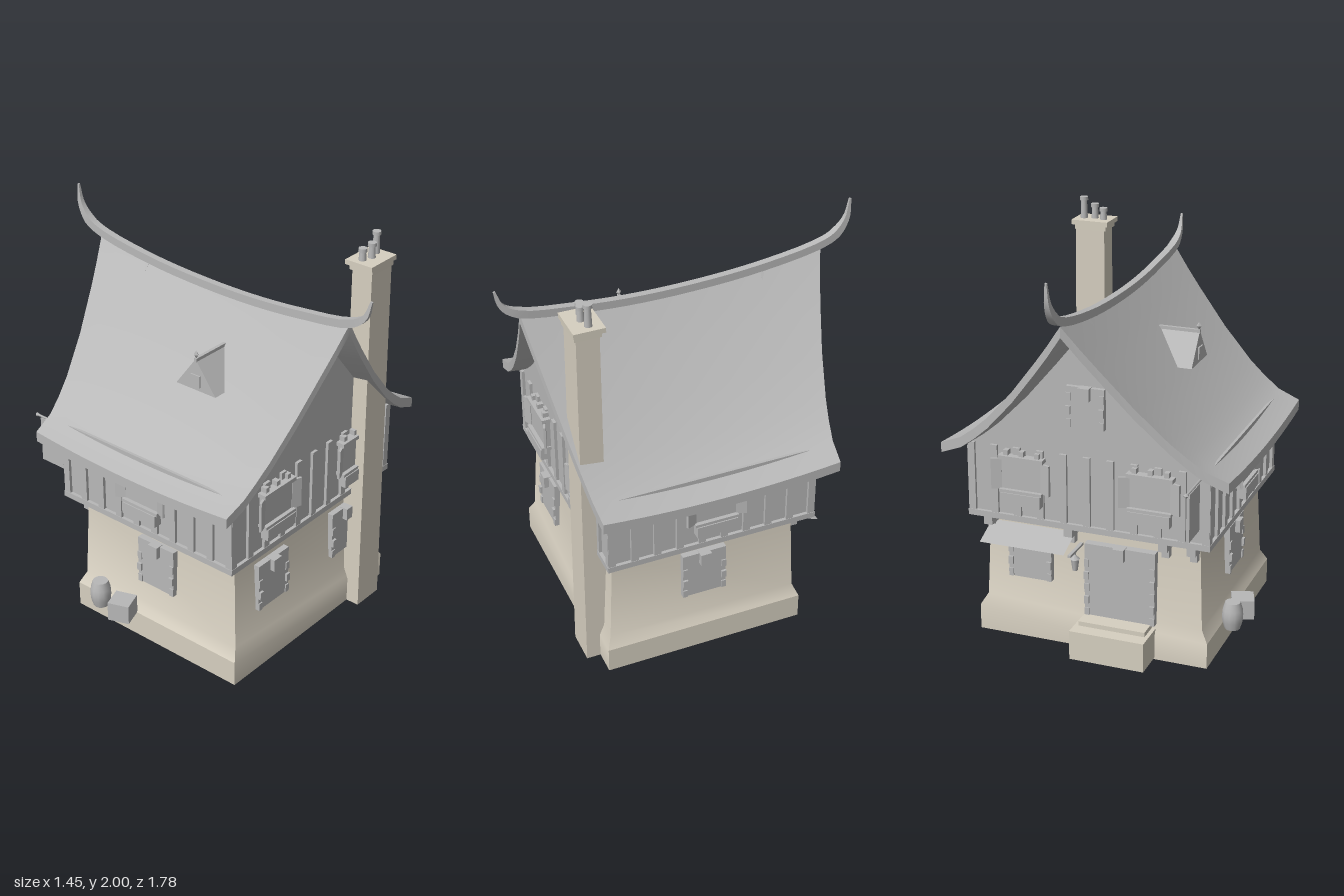
import * as THREE from 'three';
import { toCreasedNormals } from 'three/addons/utils/BufferGeometryUtils.js';

export function createModel() {
  const stone = new THREE.MeshStandardMaterial({ color: 0xd6cfc0, side: THREE.DoubleSide });
  stone.name = 'stone';
  const grey = new THREE.MeshStandardMaterial({ color: 0xb8b8b8 });
  grey.name = 'grey';
  const model = new THREE.Group();
  model.name = 'cottage';
  const V = (x, y, z) => new THREE.Vector3(x, y, z);

  function add(parent, name, geo, mat, x = 0, y = 0, z = 0) {
    const m = new THREE.Mesh(geo, mat);
    m.name = name;
    m.position.set(x, y, z);
    parent.add(m);
    return m;
  }
  // box given by its lower and upper limits
  const block = (parent, name, mat, x0, x1, y0, y1, z0, z1) =>
    add(parent, name, new THREE.BoxGeometry(x1 - x0, y1 - y0, z1 - z0), mat, (x0 + x1) / 2, (y0 + y1) / 2, (z0 + z1) / 2);

  // skin over a row of equal rings, with optional end caps
  function loft(rings, caps = true, crease = 0.5) {
    const n = rings[0].length, pos = [], idx = [];
    rings.flat().forEach(p => pos.push(p.x, p.y, p.z));
    for (let j = 0; j < rings.length - 1; j++) for (let i = 0; i < n; i++) {
      const a = j * n + i, b = j * n + (i + 1) % n, c = b + n, d = a + n;
      idx.push(a, b, d, b, c, d);
    }
    if (caps) for (let i = 0; i < n / 2 - 1; i++) {
      const [a, b, c, d] = [i, i + 1, n - 2 - i, n - 1 - i], o = (rings.length - 1) * n;
      idx.push(a + o, b + o, c + o, a + o, c + o, d + o, a, c, b, a, d, c);
    }
    const g = new THREE.BufferGeometry();
    g.setAttribute('position', new THREE.Float32BufferAttribute(pos, 3));
    g.setIndex(idx);
    return toCreasedNormals(g, crease);
  }
  const rectRing = (y, x0, x1, z0, z1) => [V(x1, y, z1), V(x1, y, z0), V(x0, y, z0), V(x0, y, z1)];

  // stone ground floor, open below, with a battered foot
  add(model, 'groundFloor', loft([
    rectRing(0, -0.595, 0.595, -0.4, 0.62), rectRing(0.13, -0.595, 0.595, -0.4, 0.62),
    rectRing(0.19, -0.56, 0.56, -0.375, 0.595), rectRing(0.64, -0.54, 0.54, -0.36, 0.57)], false), stone);

  // timbered upper floor
  block(model, 'upperWall', grey, -0.6, 0.6, 0.645, 1.0, -0.435, 0.6);
  for (const s of [-1, 1]) {
    const end = s > 0 ? 0.6 : -0.435;
    block(model, 'sillBeam', grey, s * 0.605 - 0.012, s * 0.605 + 0.012, 0.64, 0.67, -0.452, 0.617);
    block(model, 'endSillBeam', grey, -0.615, 0.615, 0.64, 0.67, end - 0.017, end + 0.017);
    block(model, 'wallPlate', grey, s * 0.61 - 0.007, s * 0.61 + 0.007, 0.98, 1.055, -0.43, 0.57);
    for (let i = 0; i <= 10; i++) {
      const x = -0.595 + i * 0.119;
      block(model, 'endPost', grey, x - 0.018, x + 0.018, 0.66, 1.02, end - 0.015, end + 0.015);
    }
    for (let i = 0; i <= 9; i++) {
      const z = -0.43 + i * 0.1139;
      block(model, 'sidePost', grey, s * 0.6 - 0.015, s * 0.6 + 0.015, 0.66, 1.0, z - 0.018, z + 0.018);
    }
  }

  // roof: flared profile, sagging ridge, swept gable ends
  const profile = [[0, 1.745], [0.08, 1.635], [0.15, 1.545], [0.3, 1.36], [0.45, 1.2], [0.53, 1.13], [0.61, 1.07], [0.72, 1.025]];
  const across = [...profile].reverse().concat(profile.slice(1).map(([x, y]) => [-x, y]));
  const roofPoint = ([x, y], t, drop) => {
    const a = 1 - Math.abs(x) / 0.72, f = Math.pow(a, 1.5), w = 2 * t - 1;
    const z = THREE.MathUtils.lerp(-0.515 - 0.22 * f, 0.67 + 0.11 * f, t);
    return V(x, y - drop - (0.03 + 0.035 * a) * (1 - w * w), z);
  };
  const roofRings = [];
  for (let j = 0; j <= 14; j++) {
    const t = j / 14;
    roofRings.push([...across.map(p => roofPoint(p, t, 0)), ...[...across].reverse().map(p => roofPoint(p, t, 0.052))]);
  }
  add(model, 'roof', loft(roofRings, true, 0.45), grey);

  // gable walls under the roof
  const gable = new THREE.Shape([new THREE.Vector2(0.6, 0.99),
    ...across.filter(p => Math.abs(p[0]) < 0.62).map(([x, y]) => new THREE.Vector2(x * 0.98, y - 0.04)), new THREE.Vector2(-0.6, 0.99)]);
  for (const z of [-0.435, 0.58])
    add(model, 'gableWall', new THREE.ExtrudeGeometry(gable, { depth: 0.02, bevelEnabled: false }), grey, 0, 0, z);

  // ridge beam with upturned, tapering tips
  const ridge = new THREE.CatmullRomCurve3([[1.98, -0.88], [1.88, -0.865], [1.805, -0.81], [1.765, -0.72], [1.712, -0.4],
    [1.69, -0.07], [1.69, 0.24], [1.71, 0.51], [1.75, 0.78], [1.80, 0.86], [1.885, 0.89]].map(([y, z]) => V(0, y, z)));
  const ridgeRings = [];
  for (let i = 0; i <= 36; i++) {
    const t = i / 36, p = ridge.getPoint(t), d = ridge.getTangent(t), n = d.clone().cross(V(1, 0, 0));
    const k = Math.min(1, 0.25 + 4 * Math.min(t, 1 - t)), w = 0.018 * k, h = 0.02 * k;
    ridgeRings.push([[-w, -h], [w, -h], [w, h], [-w, h]].map(([x, y]) => p.clone().addScaledVector(n, y).setX(x)));
  }
  add(model, 'ridgeBeam', loft(ridgeRings), grey);

  // chimney with stepped cap and pots
  add(model, 'chimney', loft([rectRing(0, 0.305, 0.475, 0.57, 0.69), rectRing(1.85, 0.305, 0.46, 0.565, 0.675)]), stone);
  block(model, 'chimneyCapLower', stone, 0.295, 0.462, 1.84, 1.868, 0.555, 0.683);
  block(model, 'chimneyCap', stone, 0.28, 0.475, 1.866, 1.89, 0.54, 0.69);
  for (const [x, top, z] of [[0.324, 1.95, 0.605], [0.376, 1.965, 0.62], [0.43, 2, 0.605]]) {
    const h = top - 1.88;
    add(model, 'chimneyPot', new THREE.CylinderGeometry(0.014, 0.019, h, 10), grey, x, 1.88 + h / 2, z);
    add(model, 'potRim', new THREE.CylinderGeometry(0.021, 0.021, 0.018, 10), grey, x, top - 0.009, z);
  }

  // windows are built facing +z and turned to their wall
  function place(name, turn, x, y, z) {
    const g = new THREE.Group();
    g.name = name;
    g.position.set(x, y, z);
    g.rotation.y = turn * Math.PI / 2;
    model.add(g);
    return g;
  }
  function surround(name, w, h, turn, x, y, z) {
    const g = place(name, turn, x, y, z);
    block(g, 'panel', grey, -w / 2, w / 2, 0, h, -0.03, 0.02);
    block(g, 'keystone', grey, -0.028, 0.028, h - 0.06, h + 0.003, 0, 0.045);
    for (const s of [-1, 1]) for (let i = 0; i < Math.floor(h / 0.065); i++) {
      const e = s * (w / 2 - 0.012);
      block(g, 'jambStone', grey, e - 0.012, e + 0.012, i * 0.065, i * 0.065 + 0.04, 0, 0.026 + 0.006 * (i % 2));
    }
  }
  function shutteredWindow(turn, x, z) {
    const g = place('upperWindow', turn, x, 0, z);
    block(g, 'frame', grey, -0.103, 0.103, 0.79, 0.98, 0, 0.03);
    block(g, 'header', grey, -0.115, 0.115, 0.965, 0.985, 0, 0.045);
    for (let i = -1; i <= 1; i++) block(g, 'headerPeg', grey, i * 0.08 - 0.012, i * 0.08 + 0.012, 0.985, 1.01, 0, 0.03);
    for (const s of [-1, 1]) {
      const sh = block(g, 'shutter', grey, s * 0.127 - 0.026, s * 0.127 + 0.026, 0.81, 0.965, 0.03, 0.042);
      sh.rotation.y = -s * 0.35;
    }
    block(g, 'sill', grey, -0.11, 0.11, 0.8, 0.815, 0, 0.05);
    block(g, 'flowerBox', grey, -0.103, 0.103, 0.74, 0.8, 0.012, 0.055);
  }
  for (const s of [-1, 1]) {
    surround('frontWindow', 0.225, 0.25, 0, s * 0.288, 0.32, 0.585);
    surround('sideWindow', 0.225, 0.25, s, s * 0.555, 0.32, 0.11);
    shutteredWindow(0, s * 0.3, 0.602);
    shutteredWindow(2, s * 0.325, -0.437);
    shutteredWindow(s, s * 0.602, 0.08);
  }
  surround('backWindow', 0.225, 0.25, 2, 0.32, 0.32, -0.375);
  surround('gableWindow', 0.19, 0.2, 2, 0, 1.17, -0.437);
  surround('door', 0.36, 0.38, 2, -0.15, 0.18, -0.385);

  // door steps and overhang brackets
  block(model, 'lowerStep', stone, -0.33, 0.05, 0.01, 0.16, -0.56, -0.37);
  block(model, 'upperStep', stone, -0.31, 0.03, 0.15, 0.183, -0.49, -0.37);
  for (const x of [-0.52, -0.38, 0.1, 0.52]) {
    block(model, 'bracket', grey, x - 0.022, x + 0.022, 0.595, 0.642, -0.44, -0.35);
    block(model, 'bracketFoot', grey, x - 0.018, x + 0.018, 0.55, 0.6, -0.4, -0.35);
  }

  // awning over the back window
  const awning = add(model, 'awning', new THREE.PlaneGeometry(0.44, 0.16), grey, 0.31, 0.565, -0.445);
  awning.rotation.set(-Math.PI / 2 - 0.38, 0, 0);

  // hanging lantern
  block(model, 'lanternArm', grey, 0.052, 0.068, 0.53, 0.542, -0.525, -0.36);
  add(model, 'lanternLink', new THREE.CylinderGeometry(0.004, 0.004, 0.04, 6), grey, 0.06, 0.52, -0.45);
  add(model, 'lanternCap', new THREE.ConeGeometry(0.026, 0.025, 6), grey, 0.06, 0.505, -0.45);
  add(model, 'lantern', new THREE.CylinderGeometry(0.021, 0.013, 0.06, 6), grey, 0.06, 0.463, -0.45);

  // hanging board on a pole
  block(model, 'hangingBoard', grey, -0.575, -0.56, 0.76, 0.995, -0.635, -0.49);
  const pole = add(model, 'boardPole', new THREE.CylinderGeometry(0.006, 0.006, 0.24, 6), grey, -0.567, 1.0, -0.54);
  pole.rotation.x = Math.PI / 2;
  add(model, 'poleKnob', new THREE.OctahedronGeometry(0.013), grey, -0.567, 1.0, -0.663);

  // dormer with ridge cap and finial
  const tri = new THREE.Shape([new THREE.Vector2(-0.118, 1.34), new THREE.Vector2(0.118, 1.34), new THREE.Vector2(0, 1.5)]);
  const dormer = add(model, 'dormer', new THREE.ExtrudeGeometry(tri, { depth: 0.21, bevelEnabled: false }), grey, -0.135, 0, 0.172);
  dormer.rotation.y = -Math.PI / 2;
  block(model, 'dormerRidge', grey, -0.347, -0.135, 1.487, 1.505, 0.164, 0.18);
  add(model, 'dormerFinial', new THREE.OctahedronGeometry(0.013).scale(1, 1.6, 1), grey, -0.34, 1.522, 0.172);
  block(model, 'dormerWindow', grey, -0.352, -0.34, 1.36, 1.42, 0.145, 0.2);

  // barrel and crate by the side wall
  const staves = [[0, 0], [0.038, 0], [0.05, 0.04], [0.053, 0.07], [0.05, 0.1], [0.038, 0.14], [0, 0.14]].map(p => new THREE.Vector2(...p));
  add(model, 'barrel', toCreasedNormals(new THREE.LatheGeometry(staves, 12), 0.7), grey, -0.655, 0.13, -0.19);
  const crate = add(model, 'crate', new THREE.BoxGeometry(0.11, 0.1, 0.11), grey, -0.66, 0.18, -0.04);
  crate.rotation.y = 0.35;
  return model;
}
